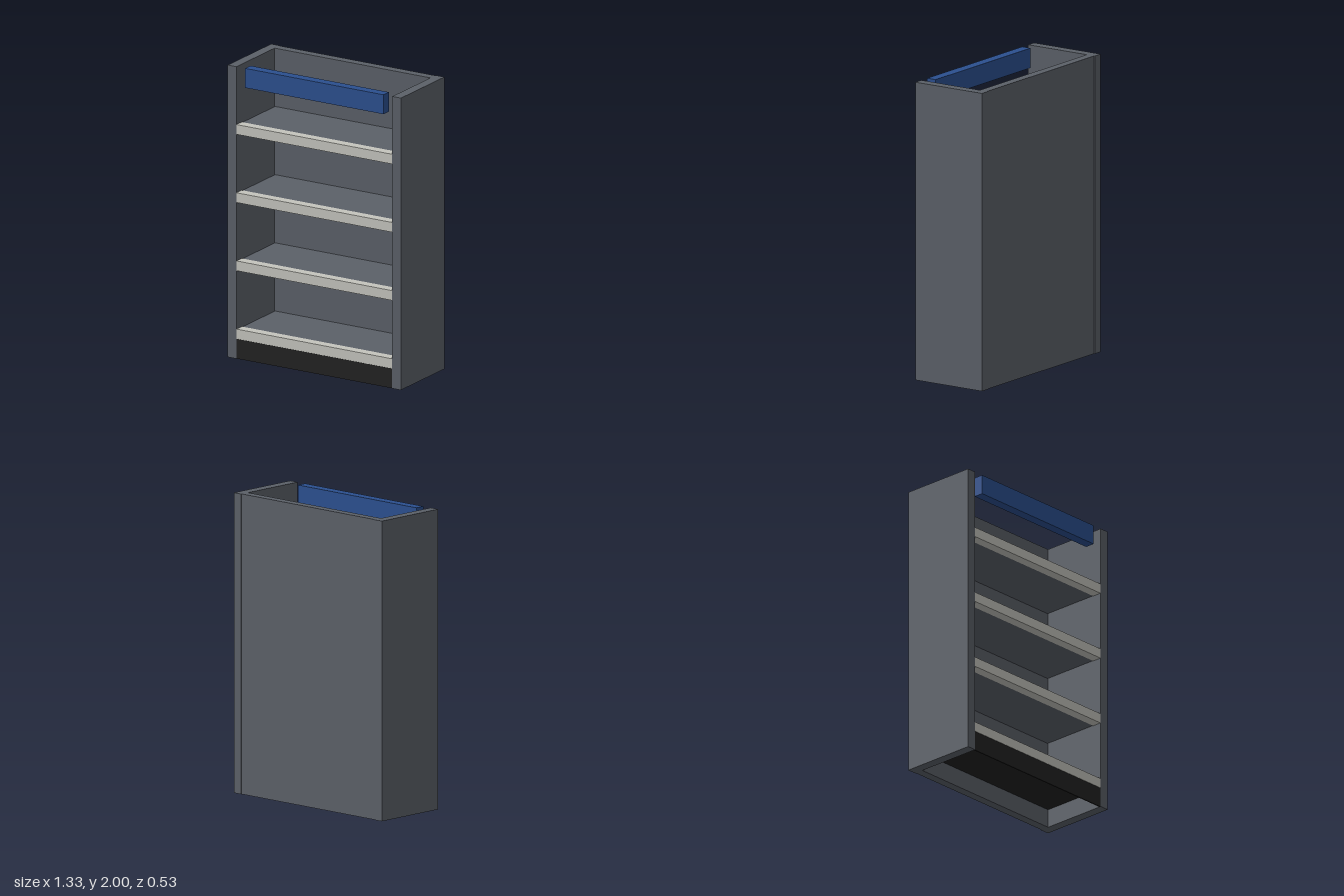
import * as THREE from 'three';

const paint = (name, color) => {
  const m = new THREE.MeshStandardMaterial({ color });
  m.name = name;
  return m;
};

export function createModel() {
  const grey = paint('slate grey', 0x5b6068);
  const cream = paint('pale trim', 0xc4c4bd);
  const blue = paint('header blue', 0x2b4f8f);
  const black = paint('plinth black', 0x222222);
  const group = new THREE.Group();
  group.name = 'shelvingUnit';

  // Box given by its minimum and maximum corners
  const box = (name, material, [x0, y0, z0], [x1, y1, z1]) => {
    const mesh = new THREE.Mesh(new THREE.BoxGeometry(x1 - x0, y1 - y0, z1 - z0), material);
    mesh.position.set((x0 + x1) / 2, (y0 + y1) / 2, (z0 + z1) / 2);
    mesh.name = name;
    group.add(mesh);
  };

  // Carcass: two side panels and a slightly inset back
  box('leftSidePanel', grey, [0.6, 0, -0.267], [0.667, 2, 0.267]);
  box('rightSidePanel', grey, [-0.667, 0, -0.267], [-0.6, 2, 0.267]);
  box('backPanel', grey, [-0.6, 0, -0.262], [0.6, 2, -0.203]);

  // Four shelves, each with a pale front edge
  for (let i = 0; i < 4; i++) {
    const y = 0.135 + i * 0.467;
    box('shelf', grey, [-0.596, y, -0.203], [0.596, y + 0.065, 0.2]);
    box('shelfEdge', cream, [-0.6, y, 0.2], [0.6, y + 0.067, 0.265]);
  }

  // Hollow plinth, open underneath
  box('plinthFront', black, [-0.6, 0, 0.256], [0.6, 0.134, 0.264]);
  box('plinthTop', black, [-0.6, 0.126, -0.203], [0.6, 0.134, 0.256]);

  // Header board between the side panels
  box('headerBoard', blue, [-0.533, 1.867, 0.2], [0.533, 2, 0.267]);

  return group;
}
